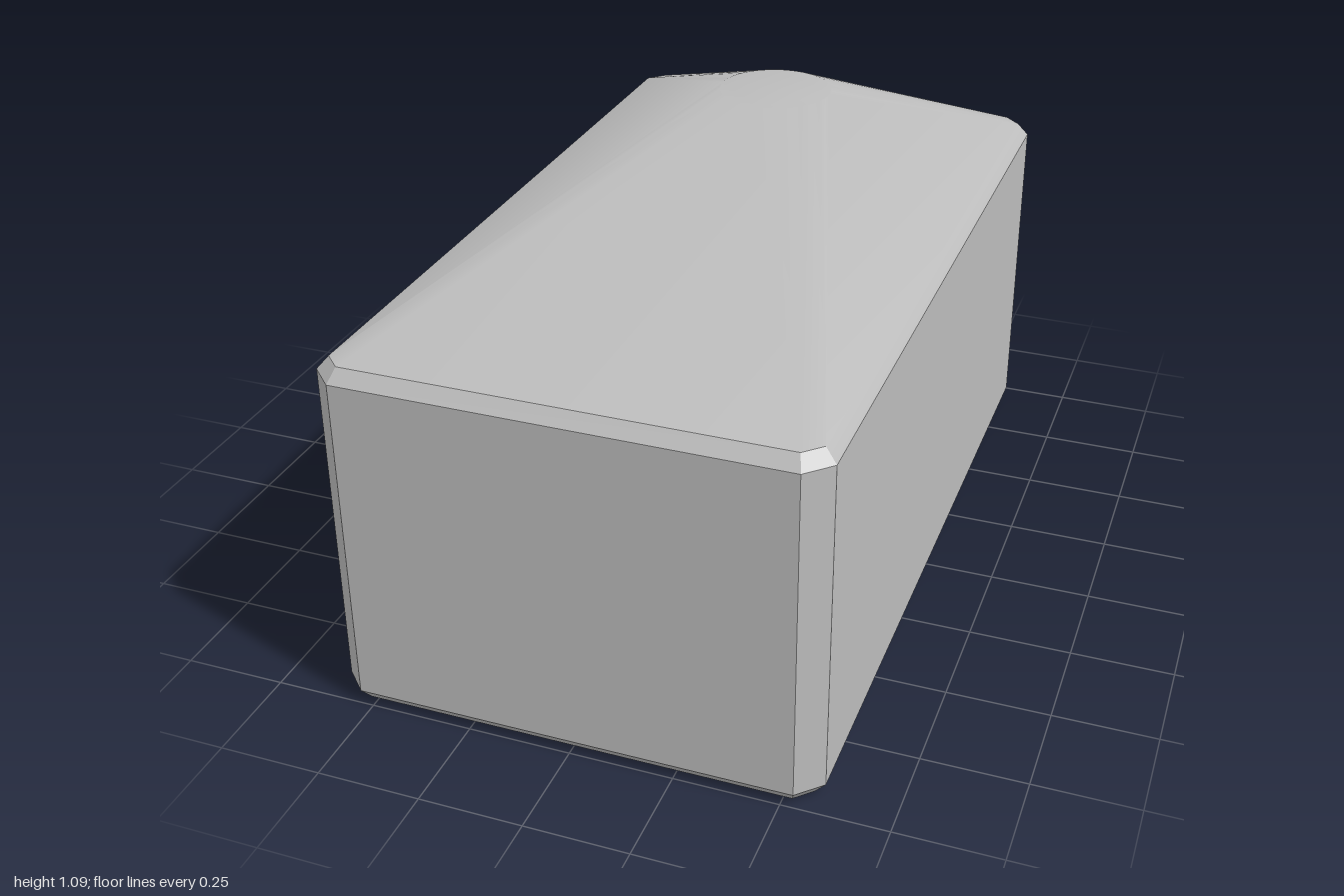
import * as THREE from 'three';
import { ConvexGeometry } from 'three/addons/geometries/ConvexGeometry.js';
import { toCreasedNormals } from 'three/addons/utils/BufferGeometryUtils.js';

// Rectangle with cut corners, lying level at height y
function cutRectangle(x, z, cutX, cutZ, y) {
  const points = [];
  for (const sx of [-1, 1]) for (const sz of [-1, 1]) {
    points.push(new THREE.Vector3(sx * x, y, sz * (z - cutZ)));
    points.push(new THREE.Vector3(sx * (x - cutX), y, sz * z));
  }
  return points;
}

// Small round cap, lying level at height y
function ring(radius, z, y, sides) {
  return Array.from({ length: sides }, (_, i) => {
    const a = (i / sides) * Math.PI * 2;
    return new THREE.Vector3(radius * Math.sin(a), y, z + radius * Math.cos(a));
  });
}

export function createModel() {
  const group = new THREE.Group();
  const grey = new THREE.MeshStandardMaterial({ color: 0xbcbcbc });
  grey.name = 'light grey';

  // Bevelled block whose roof rises to an off-centre round cap
  const hull = new ConvexGeometry([
    ...cutRectangle(0.56, 0.972, 0.04, 0.04, 0),
    ...cutRectangle(0.587, 1, 0.057, 0.057, 0.035),
    ...cutRectangle(0.587, 1, 0.057, 0.057, 0.853),
    ...cutRectangle(0.56, 0.972, 0.04, 0.04, 0.885),
    ...ring(0.148, -0.44, 1.09, 32),
  ]);
  const block = new THREE.Mesh(toCreasedNormals(hull, Math.PI / 6), grey);
  block.name = 'bevelled block with sloped roof';
  group.add(block);
  return group;
}
